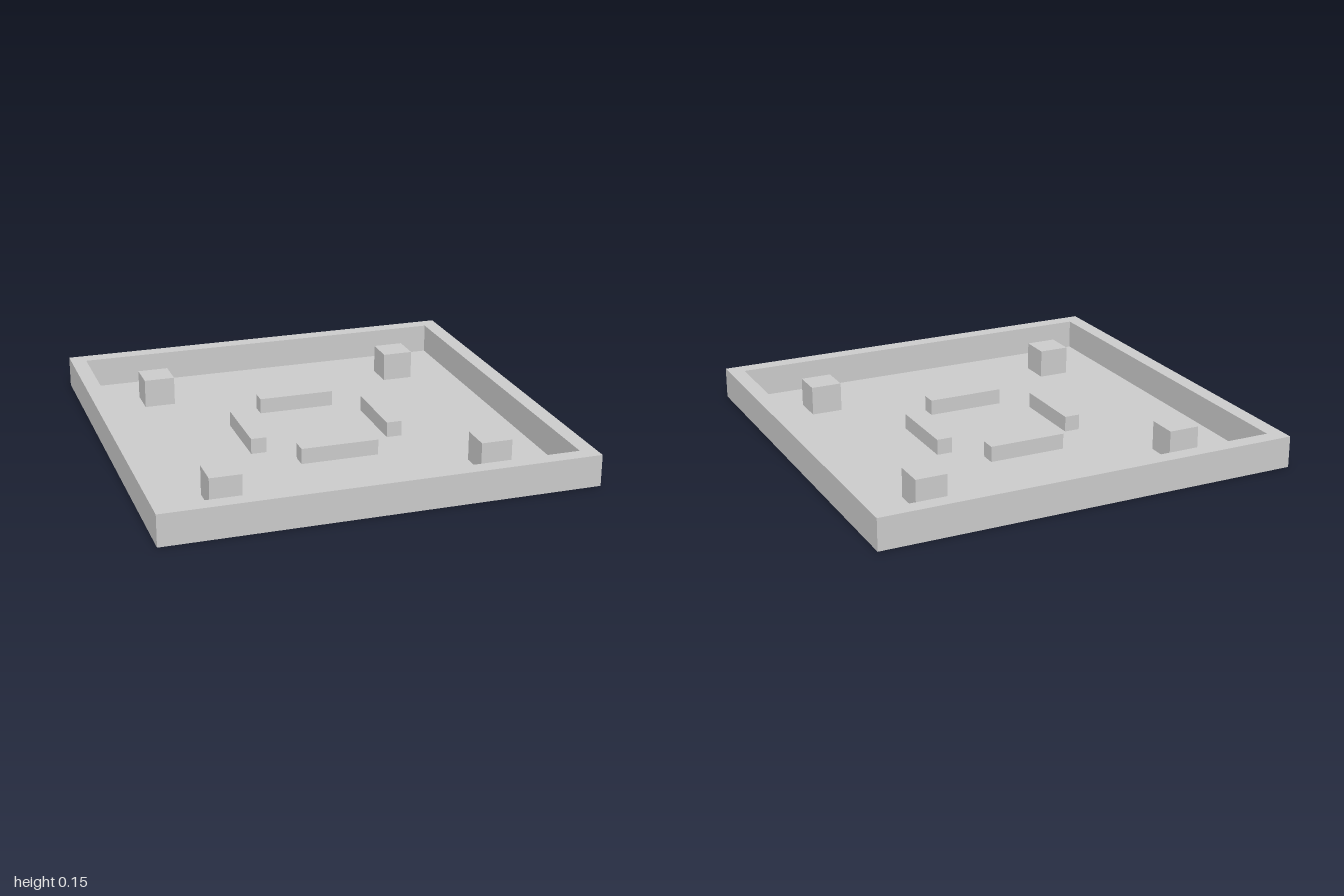
import * as THREE from 'three';

export function createModel() {
  const model = new THREE.Group();
  const material = new THREE.MeshStandardMaterial({ color: 0xcccccc, flatShading: true });

  const U = 2 / 27; // wall thickness, the unit everything is sized by
  const HEIGHT = 2 * U;
  const FLOOR = 0.005;
  const INNER = 1 - U;

  const add = (name, geometry, x = 0, y = 0, z = 0) => {
    const mesh = new THREE.Mesh(geometry, material);
    mesh.name = name;
    mesh.position.set(x, y, z);
    model.add(mesh);
  };

  // A box resting on the floor
  const block = (name, w, h, d, x, z) =>
    add(name, new THREE.BoxGeometry(w, h, d), x, FLOOR + h / 2, z);

  const square = (Type, r) =>
    new Type([[-r, -r], [r, -r], [r, r], [-r, r]].map(([x, y]) => new THREE.Vector2(x, y)));

  // Square rim wall
  const rim = square(THREE.Shape, 1);
  rim.holes.push(square(THREE.Path, INNER));
  const wall = new THREE.ExtrudeGeometry(rim, { depth: HEIGHT, bevelEnabled: false });
  wall.rotateX(-Math.PI / 2);
  add('rimWall', wall);

  // Thin floor inside the rim
  add('floor', new THREE.BoxGeometry(2 * INNER, FLOOR, 2 * INNER), 0, FLOOR / 2, 0);

  for (const s of [-1, 1]) {
    // Corner posts
    for (const t of [-1, 1]) {
      block('cornerPost', 2 * U, HEIGHT - 0.01, 2 * U, s * 8.5 * U, t * 8.5 * U);
    }
    // Low bars around the centre
    block('sideBar', U, U, 5 * U, s * 4.5 * U, 0);
    block('crossBar', 5 * U, U, U, 0, s * 4.5 * U);
  }

  return model;
}
